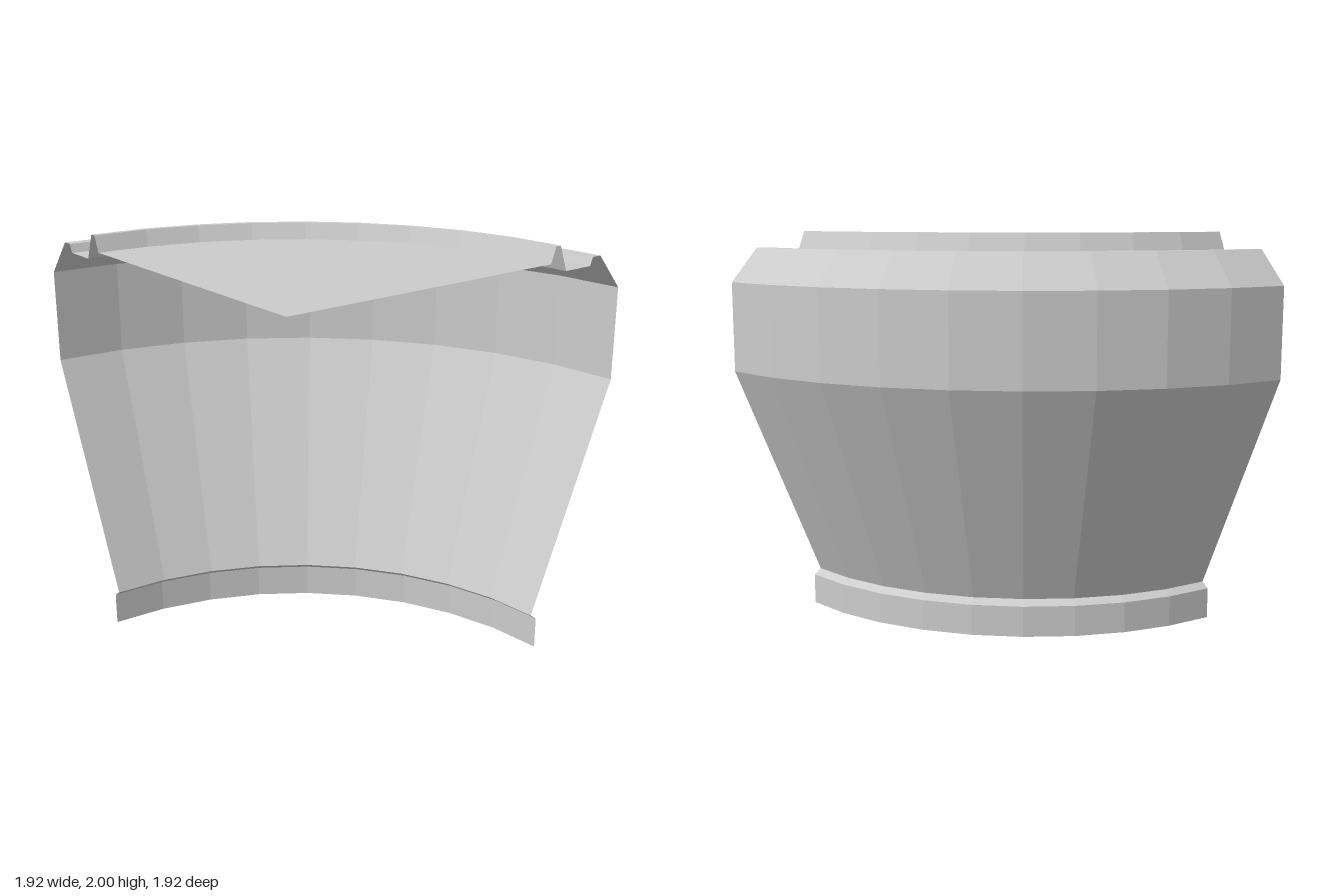
import * as THREE from 'three';

const HALF = 0.96;   // the sweep axis stands on the front left corner
const SEGMENTS = 9;  // ten degrees per facet

// Sweeps a [radius, height] profile through the back right quarter turn
function quarter(name, profile, material) {
  const points = profile.map(([r, y]) => new THREE.Vector2(r, y));
  const geometry = new THREE.LatheGeometry(points, SEGMENTS, Math.PI, Math.PI / 2);
  const mesh = new THREE.Mesh(geometry, material);
  mesh.name = name;
  mesh.position.set(HALF, 0, HALF);
  return mesh;
}

export function createModel() {
  const material = new THREE.MeshStandardMaterial({
    color: 0xcccccc, flatShading: true, side: THREE.DoubleSide,
  });
  const group = new THREE.Group();
  group.name = 'quarterPedestal';

  group.add(
    // Foot band with a small bevel on top
    quarter('footBand', [[1.493, 0], [1.493, 0.157], [1.455, 0.185]], material),
    // Flared wall and upright upper band
    quarter('flaredWall', [[1.455, 0.185], [1.92, 1.3], [1.92, 1.75]], material),
    // Chamfered shoulder, lip and sunken channel
    quarter('shoulderLip', [[1.92, 1.75], [1.775, 1.92], [1.725, 1.92], [1.708, 1.88], [1.547, 1.88]], material),
    // Raised inner ridge
    quarter('innerRidge', [[1.547, 1.88], [1.502, 2], [1.473, 2], [1.445, 1.925]], material),
    // Flat top inside the ridge
    quarter('topPlate', [[1.445, 1.925], [0, 1.925]], material),
  );
  return group;
}
